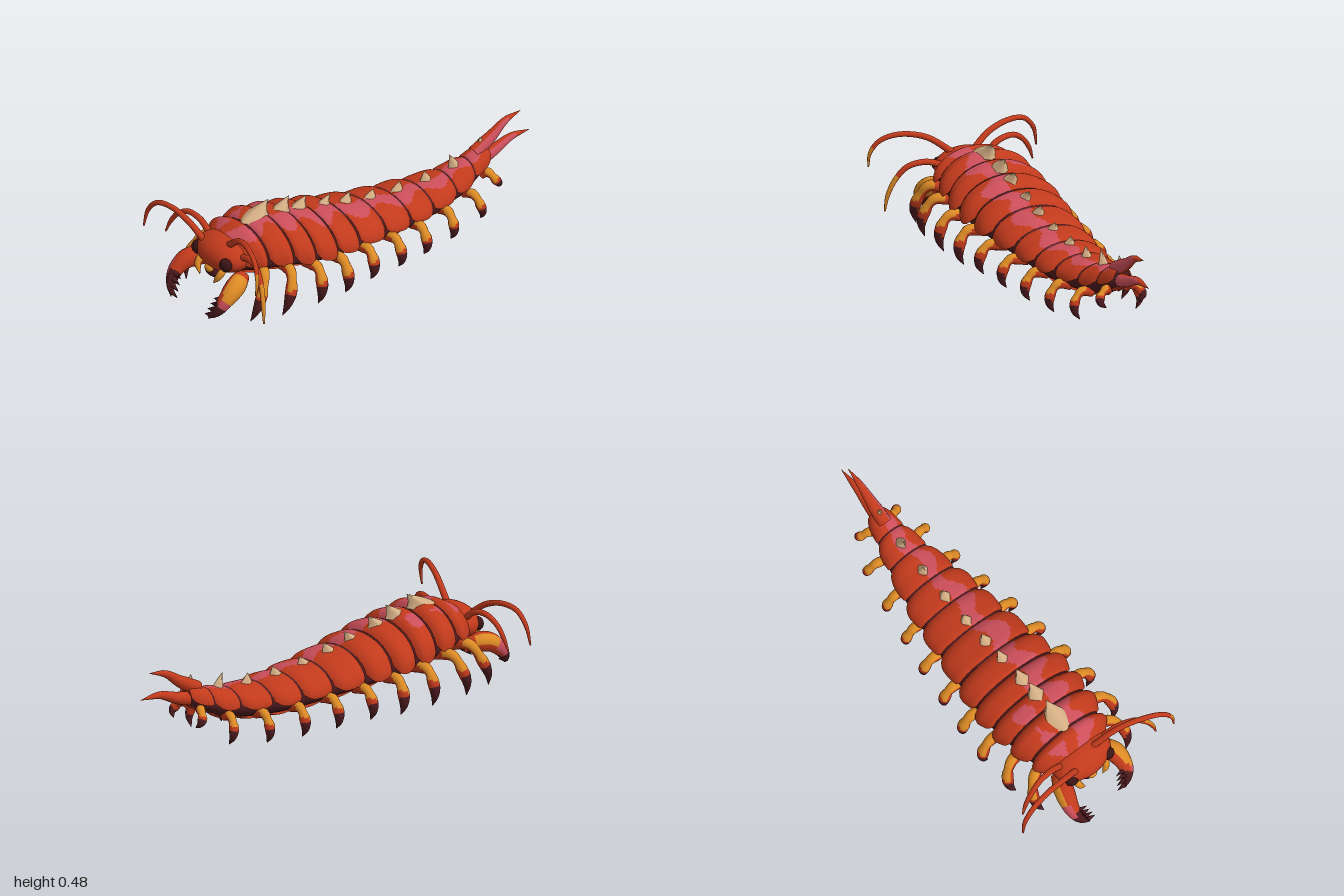
import * as THREE from 'three';

const mat = (name, color, side = THREE.FrontSide) => new THREE.MeshStandardMaterial({ name, color, side });
const D = THREE.DoubleSide;
const SHELL = mat('shell red', 0xc23a1c, D), BLUSH = mat('blush pink', 0xcb4e5a);
const MAROON = mat('claw maroon', 0x4c1a1e), ORANGE = mat('leg orange', 0xdc8a24);
const BONE = mat('spike bone', 0xd4ae84), EYE = mat('eye dark', 0x3a1415);

// Body stations: z, half width, top, widest height, belly
const STATIONS = [
  [0.80, 0.13, 0.37, 0.28, 0.21], [0.70, 0.205, 0.41, 0.28, 0.19], [0.58, 0.232, 0.425, 0.265, 0.175],
  [0.46, 0.245, 0.4, 0.235, 0.155], [0.34, 0.25, 0.37, 0.215, 0.14], [0.2, 0.235, 0.335, 0.2, 0.12],
  [0.05, 0.212, 0.295, 0.185, 0.1], [-0.12, 0.188, 0.265, 0.17, 0.08], [-0.27, 0.17, 0.25, 0.162, 0.075],
  [-0.43, 0.135, 0.245, 0.165, 0.085], [-0.57, 0.1, 0.262, 0.18, 0.115], [-0.68, 0.07, 0.295, 0.22, 0.17],
  [-0.76, 0.05, 0.315, 0.25, 0.215],
];
function body(z) {
  let i = 0;
  while (i < STATIONS.length - 2 && z < STATIONS[i + 1][0]) i++;
  const a = STATIONS[i], b = STATIONS[i + 1];
  const t = THREE.MathUtils.clamp((a[0] - z) / (a[0] - b[0]), 0, 1);
  const [, hw, top, edge, belly] = a.map((v, k) => v + (b[k] - v) * t);
  return { hw, top, edge, belly };
}

// Piecewise linear lookup over evenly spaced values
function lerpList(list, t) {
  const f = t * (list.length - 1), i = Math.min(Math.floor(f), list.length - 2);
  return list[i] + (list[i + 1] - list[i]) * (f - i);
}

// Surface from a grid of points; pick(u, v) gives the material of each cell
function grid(name, nu, nv, point, pick, closed) {
  const pos = [], cols = closed ? nv : nv + 1, cells = new Map();
  for (let i = 0; i <= nu; i++) for (let j = 0; j < cols; j++) pos.push(...point(i / nu, j / nv));
  for (let i = 0; i < nu; i++) for (let j = 0; j < nv; j++) {
    const k = (j + 1) % cols;
    const a = i * cols + j, b = a + cols, c = (i + 1) * cols + k, d = i * cols + k;
    const m = pick((i + 0.5) / nu, (j + 0.5) / nv);
    if (!cells.has(m)) cells.set(m, []);
    cells.get(m).push(a, d, c, a, c, b);
  }
  const geo = new THREE.BufferGeometry(), index = [], mats = [...cells.keys()];
  mats.forEach((m, k) => {
    geo.addGroup(index.length, cells.get(m).length, k);
    for (const n of cells.get(m)) index.push(n);
  });
  geo.setAttribute('position', new THREE.Float32BufferAttribute(pos, 3));
  geo.setIndex(index);
  geo.computeVertexNormals();
  const mesh = new THREE.Mesh(geo, mats);
  mesh.name = name;
  return mesh;
}

// Tapered limb along a curve; pick(t, normal) chooses the colour
function limb(name, pts, radii, pick, nu = 24, nv = 12) {
  const curve = new THREE.CatmullRomCurve3(pts.map(p => new THREE.Vector3(...p)));
  const f = curve.computeFrenetFrames(nu);
  const dir = (u, v) => {
    const i = Math.min(nu, Math.round(u * nu)), a = v * Math.PI * 2;
    return f.normals[i].clone().multiplyScalar(Math.cos(a)).addScaledVector(f.binormals[i], Math.sin(a));
  };
  return grid(name, nu, nv,
    (u, v) => curve.getPointAt(u).addScaledVector(dir(u, v), lerpList(radii, u)).toArray(),
    (u, v) => pick(u, dir(u, v)), true);
}

function ellipsoid(name, material, pos, scale) {
  const m = new THREE.Mesh(new THREE.SphereGeometry(1, 28, 18), material);
  m.name = name;
  m.position.set(...pos);
  m.scale.set(...scale);
  return m;
}

function buildTrunk(g) {
  // Dark inner body, seen along the flanks and in the gaps
  g.add(grid('innerBody', 60, 28, (u, v) => {
    const z = -0.75 + u * 1.53, b = body(z), a = v * Math.PI * 2, s = u === 0 || u === 1 ? 0.01 : 0.89;
    const ry = Math.sin(a) > 0 ? b.top - b.edge : b.edge - b.belly;
    return [b.hw * s * Math.cos(a), b.edge + ry * s * Math.sin(a), z];
  }, () => MAROON, true));

  // Back plates with rounded lower corners, and belly plates
  const cuts = [0.785, 0.66, 0.53, 0.41, 0.28, 0.14, -0.03, -0.19, -0.34, -0.5, -0.63, -0.745];
  const swell = [0.87, 0.98, 1.02, 1.03, 1.02, 1.0, 0.98, 0.95, 0.85];
  for (let k = 0; k < cuts.length - 1; k++) {
    const z0 = cuts[k + 1], z1 = cuts[k];
    const shell = (u, a, lower) => {
      const z = z0 + (z1 - z0) * u, b = body(z), s = lerpList(swell, u);
      const ry = lower ? b.edge - b.belly : b.top - b.edge;
      return [b.hw * s * (lower ? 0.93 : 1) * Math.cos(a), b.edge + ry * s * Math.sin(a), z];
    };
    const angle = (u, v) => {
      const low = 0.08 - 0.35 * Math.abs(2 * u - 1) ** 4;
      return -low + (Math.PI + 2 * low) * v;
    };
    const blush = (u, v) => {
      const x = Math.cos(angle(u, v)), w = Math.sin(k * 2.3 + u * 5) * 0.1;
      const right = x > (k > 8 ? -0.2 : 0.05) + w && x < 0.5 + w * 1.6;
      const left = k < 3 && x < -0.3 + w && x > -0.55 - w && u > 0.3;
      return right || left ? BLUSH : SHELL;
    };
    g.add(grid('backPlate', 16, 48, (u, v) => shell(u, angle(u, v), false), blush));
    g.add(grid('bellyPlate', 12, 24, (u, v) => shell(u, Math.PI + 0.85 + (Math.PI - 1.7) * v, true), () => SHELL));
  }

  // Back spikes with diamond bases: z, base radius, tip z, tip height
  const spikes = [
    [0.595, 0.064, 0.515, 0.475], [0.455, 0.05, 0.395, 0.45], [0.35, 0.046, 0.295, 0.415], [0.205, 0.038, 0.155, 0.372],
    [0.075, 0.038, 0.04, 0.342], [-0.07, 0.035, -0.095, 0.305], [-0.23, 0.034, -0.25, 0.292], [-0.4, 0.032, -0.39, 0.292],
    [-0.565, 0.03, -0.535, 0.325], [-0.725, 0.03, -0.715, 0.355],
  ];
  const diamond = c => Math.sign(c) * Math.abs(c) ** 1.5;
  for (const [z, r, tz, ty] of spikes) {
    const y = body(z).top - 0.02;
    g.add(grid('backSpike', 12, 20, (u, v) => {
      const a = v * Math.PI * 2, w = r * (1 - u) + 0.0005;
      return [w * diamond(Math.cos(a)), y + (ty - y) * u ** 0.85, z + (tz - z) * u ** 1.3 - w * 1.2 * diamond(Math.sin(a))];
    }, () => BONE, true));
  }

  // Stacked tail prongs
  const prong = [0.034, 0.032, 0.024, 0.015, 0.001];
  const prongColour = (t, n) => (n.x > 0.35 && t < 0.75 ? BLUSH : SHELL);
  g.add(limb('upperTailProng', [[0, 0.28, -0.68], [0, 0.335, -0.78], [0, 0.388, -0.86], [0, 0.41, -0.95]], prong, prongColour));
  g.add(limb('lowerTailProng', [[0, 0.23, -0.68], [0, 0.255, -0.79], [0, 0.29, -0.89], [0, 0.29, -1]], prong, prongColour));
}

function buildLegs(g) {
  // Leg pairs: hip z, tip z, outer reach, tip height
  const legs = [
    [0.67, 0.805, 0.285, 0.04], [0.56, 0.65, 0.325, 0.035], [0.43, 0.45, 0.333, 0.03], [0.28, 0.28, 0.32, 0.02],
    [0.11, 0.12, 0.302, 0.025], [-0.06, -0.06, 0.28, 0.015], [-0.23, -0.23, 0.25, 0.005], [-0.41, -0.41, 0.22, 0.005],
    [-0.57, -0.605, 0.19, 0.03], [-0.69, -0.75, 0.13, 0.125],
  ];
  for (const [z, tz, reach, ty] of legs) for (const s of [1, -1]) {
    const b = body(z), hy = b.edge - 0.035, zt = t => z + (tz - z) * t, k = 0.8 + b.hw * 1.4;
    const pts = [[b.hw * 0.65, hy - 0.01, z], [reach - 0.065, hy + 0.01, zt(0.3)], [reach - 0.025, hy + (ty - hy) * 0.3, zt(0.6)],
      [reach - 0.022, hy + (ty - hy) * 0.65, zt(0.85)], [reach - 0.045, ty, tz]];
    const radii = [0.02, 0.021, 0.025, 0.023, 0.019, 0.025, 0.024, 0.018, 0.01, 0.001].map(r => r * k);
    g.add(limb('leg', pts.map(p => [p[0] * s, p[1], p[2]]), radii, (t, n) => {
      const outer = n.x * s * 0.7 + n.y * 0.5;
      if (t > (outer > -0.1 ? 0.64 : 0.72)) return MAROON;
      return t > 0.2 && t < 0.58 + n.z * 0.04 && outer > 0.15 ? ORANGE : SHELL;
    }, 28, 14));
  }
}

function buildHead(g) {
  g.add(ellipsoid('head', SHELL, [0, 0.295, 0.775], [0.155, 0.085, 0.105]));
  g.add(ellipsoid('mouth', MAROON, [0, 0.217, 0.822], [0.056, 0.036, 0.045]));
  g.add(ellipsoid('upperLip', ORANGE, [0, 0.236, 0.858], [0.026, 0.021, 0.02]));

  for (const s of [1, -1]) {
    g.add(ellipsoid('eye', EYE, [s * 0.104, 0.292, 0.842], [0.033, 0.034, 0.028]));
    g.add(limb('fang', [[s * 0.085, 0.265, 0.83], [s * 0.078, 0.225, 0.863], [s * 0.05, 0.182, 0.873]],
      [0.013, 0.018, 0.014, 0.001], (t, n) => (n.z > -0.4 ? ORANGE : SHELL), 14, 12));

    // Toothed pincers, one reaching further forward
    const dz = s > 0 ? -0.035 : 0, dy = s > 0 ? -0.015 : 0.005;
    const pts = [[s * 0.12, 0.21, 0.76], [s * 0.155, 0.21 + dy, 0.86 + dz], [s * 0.165, 0.165 + dy, 0.925 + dz],
      [s * 0.15, 0.11 + dy, 0.965 + dz], [s * 0.115, 0.068 + dy, 0.99 + dz]];
    g.add(limb('pincer', pts, [0.035, 0.042, 0.048, 0.046, 0.04, 0.034, 0.026, 0.015, 0.001], (t, n) => {
      const outer = n.x * s + n.y * 0.5;
      if (t > (outer > 0.3 ? 0.68 : 0.6)) return MAROON;
      if (t > (s > 0 ? 0.56 : 0.45) && outer > 0.5) return BLUSH;
      return t > 0.15 && outer > (s > 0 ? 0.4 : 0.85) ? ORANGE : SHELL;
    }, 28, 16));
    for (let i = 0; i < 4; i++) {
      const tooth = new THREE.Mesh(new THREE.ConeGeometry(0.014, 0.05, 8), MAROON);
      tooth.name = 'pincerTooth';
      tooth.position.set(s * (0.122 - i * 0.007), 0.16 - i * 0.026 + dy, 0.945 + i * 0.012 + dz);
      tooth.rotation.z = s * 1.9;
      g.add(tooth);
    }
  }

  // Four sweeping antennae, each posed differently
  const antennae = [
    [[0.06, 0.36, 0.79], [0.18, 0.445, 0.82], [0.3, 0.467, 0.86], [0.385, 0.44, 0.89], [0.425, 0.38, 0.91], [0.428, 0.31, 0.92]],
    [[-0.07, 0.335, 0.83], [-0.16, 0.4, 0.85], [-0.27, 0.432, 0.865], [-0.36, 0.42, 0.88], [-0.415, 0.36, 0.89], [-0.435, 0.27, 0.9]],
    [[0.13, 0.32, 0.77], [0.21, 0.342, 0.78], [0.29, 0.325, 0.8], [0.345, 0.26, 0.82], [0.375, 0.18, 0.835], [0.385, 0.11, 0.84]],
    [[-0.11, 0.335, 0.77], [-0.17, 0.38, 0.775], [-0.25, 0.39, 0.785], [-0.31, 0.355, 0.8], [-0.35, 0.3, 0.81], [-0.373, 0.24, 0.82]],
  ];
  for (const pts of antennae) {
    const orangeFrom = pts[0][0] < 0 ? 2 : pts[0][0] < 0.1 ? 0.8 : 0.55;
    g.add(limb('antenna', pts, [0.016, 0.0145, 0.0135, 0.0125, 0.011, 0.004],
      (t, n) => (t > orangeFrom && n.x > 0 ? ORANGE : SHELL), 36, 12));
  }
}

export function createModel() {
  const model = new THREE.Group();
  model.name = 'centipede';
  for (const [name, build] of [['trunk', buildTrunk], ['legs', buildLegs], ['head', buildHead]]) {
    const part = new THREE.Group();
    part.name = name;
    build(part);
    model.add(part);
  }
  return model;
}
